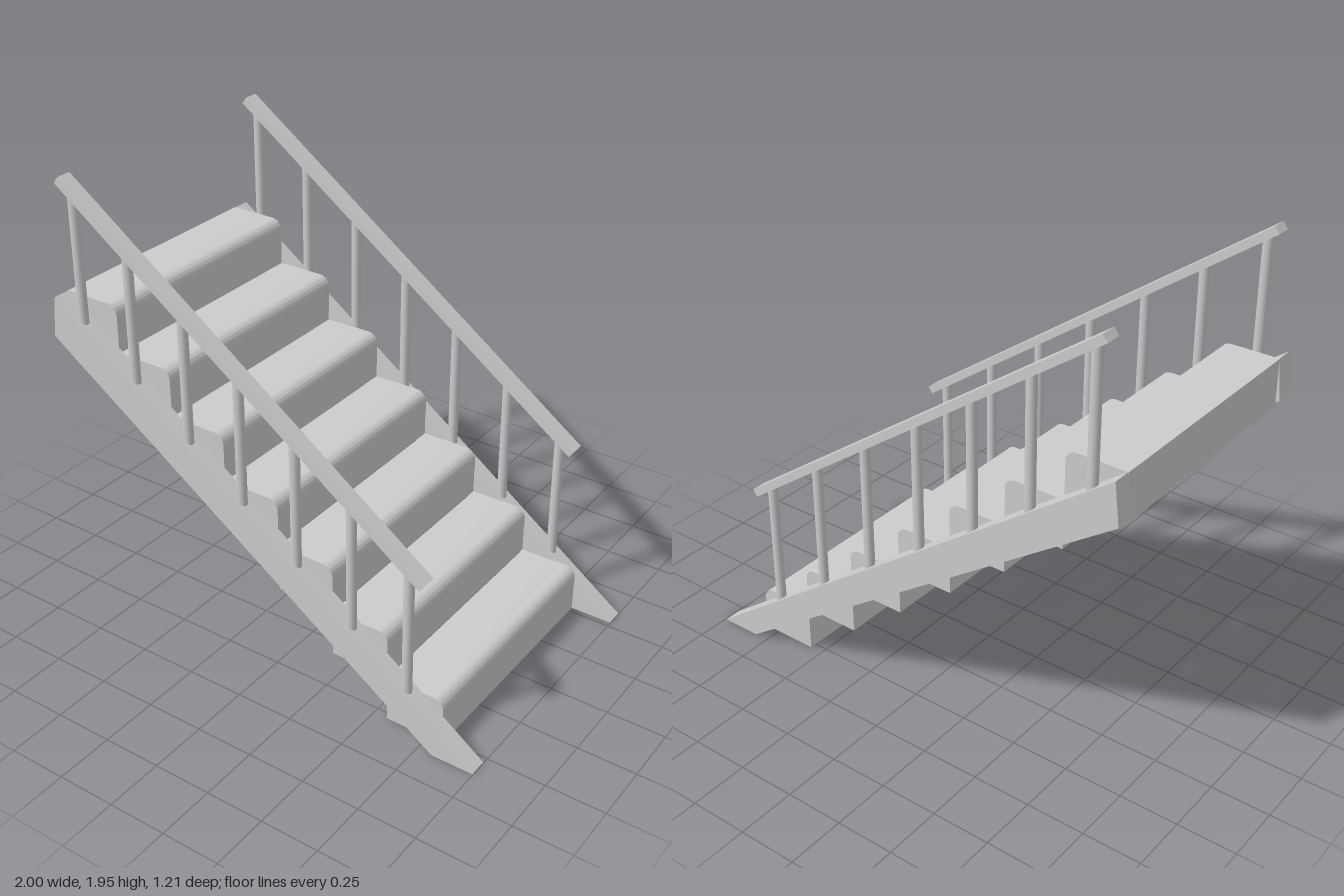
import * as THREE from 'three';
import { toCreasedNormals } from 'three/addons/utils/BufferGeometryUtils.js';

const STEPS = 7, RUN = 0.257, RISE = 0.2043;
const SIDE_Z = 0.565;

export function createModel() {
  const model = new THREE.Group();
  model.name = 'staircase';
  const material = new THREE.MeshStandardMaterial({ color: 0xcccccc });

  const add = (parent, name, geometry, x = 0, y = 0, z = 0) => {
    const mesh = new THREE.Mesh(geometry, material);
    mesh.name = name;
    mesh.position.set(x, y, z);
    parent.add(mesh);
    return mesh;
  };

  // Side profile extruded along z, centred on z = 0
  const slab = (shape, depth) => {
    const g = new THREE.ExtrudeGeometry(shape, { depth, bevelEnabled: false, curveSegments: 8 });
    g.translate(0, 0, -depth / 2);
    return toCreasedNormals(g, 0.6);
  };
  const polygon = (pts) => new THREE.Shape(pts.map(([x, y]) => new THREE.Vector2(x, y)));

  // Solid steps with a rounded nosing
  const r = 0.045, w = 0.255;
  const profile = new THREE.Shape();
  profile.moveTo(0, 0);
  profile.lineTo(w, 0);
  profile.lineTo(w, RISE - r);
  profile.absarc(w - r, RISE - r, r, 0, Math.PI / 2, false);
  profile.lineTo(0, RISE);
  profile.closePath();
  const stepGeometry = slab(profile, 1.056);
  for (let i = 0; i < STEPS; i++) {
    add(model, 'step', stepGeometry, 0.56 - RUN * i, RISE * i, 0);
  }

  // Sloping stringer and handrail profiles
  const stringerGeometry = slab(
    polygon([[-1, 1.255], [0.815, 0], [0.997, 0], [-0.98, 1.43]]), 0.08);
  const railGeometry = slab(
    polygon([[-0.925, 1.917], [0.737, 0.729], [0.757, 0.757], [-0.905, 1.945]]), 0.066);

  const stringerTop = (x) => 1.43 - 0.7233 * (x + 0.98);
  const railMiddle = (x) => 1.931 - 0.7148 * (x + 0.915);

  for (const side of [1, -1]) {
    const group = new THREE.Group();
    group.name = side > 0 ? 'frontSide' : 'backSide';
    group.position.z = side * SIDE_Z;
    model.add(group);

    add(group, 'stringer', stringerGeometry);
    add(group, 'handrail', railGeometry, 0, 0, side * 0.003);

    // Round balusters, sunk slightly into stringer and rail
    for (let i = 0; i < STEPS; i++) {
      const x = 0.675 - RUN * i;
      const bottom = stringerTop(x) - 0.03, top = railMiddle(x);
      add(group, 'baluster', new THREE.CylinderGeometry(0.021, 0.021, top - bottom, 20),
        x, (top + bottom) / 2, side * 0.003);
    }
  }
  return model;
}
